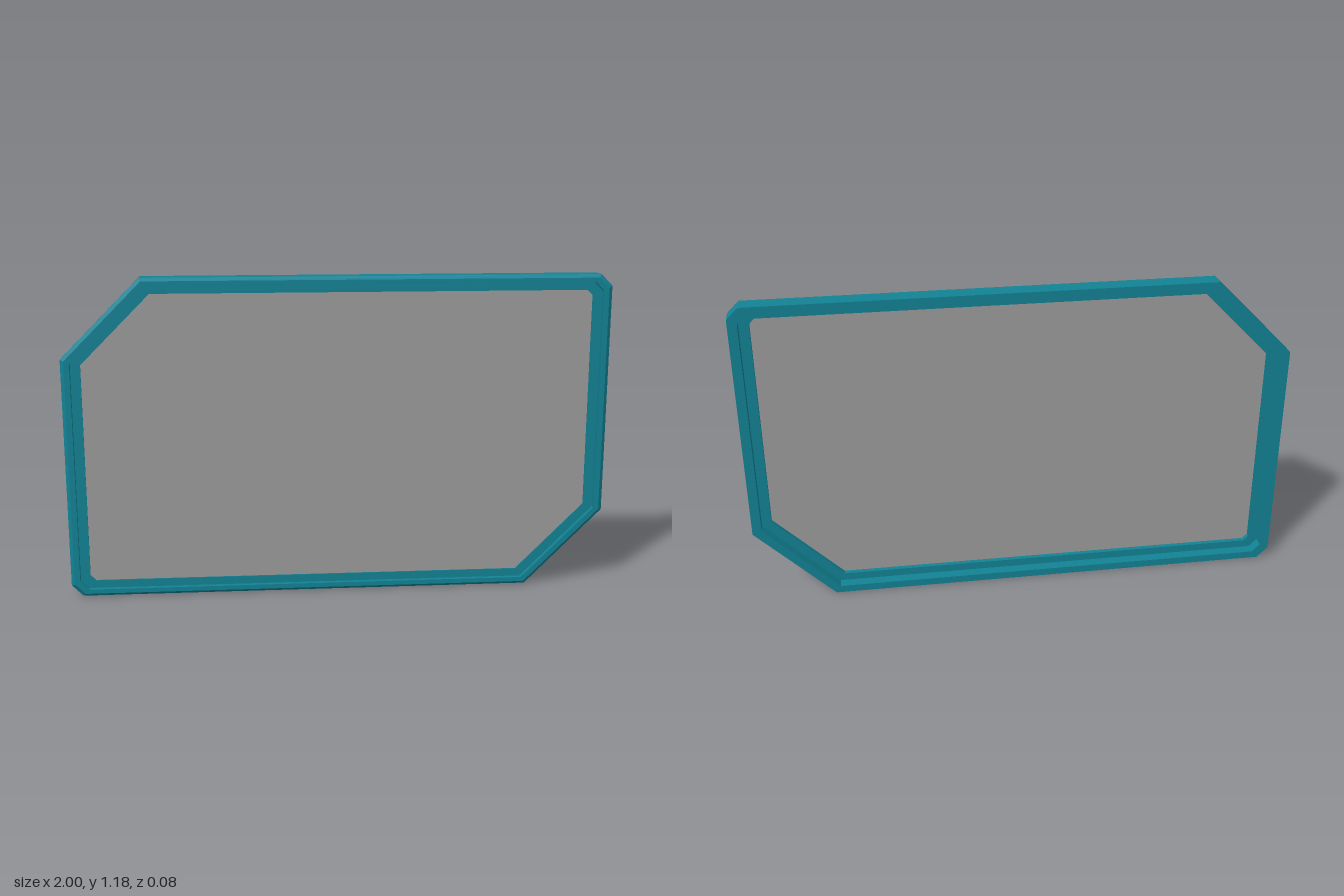
import * as THREE from 'three';

const W = 1, H = 0.59; // half width and half height

// Eight-cornered outline, inset from the outer edge (counter-clockwise seen from the front).
// Two opposite corners are cut deeply, the other two only slightly.
function outline(inset) {
  const x = W - inset, y = H - inset * 0.82;
  const big = 0.288 - inset * 0.5, small = 0.042 - inset * 0.32;
  return [
    [x, -y + big], [x, y - small], [x - small, y], [-x + big, y],
    [-x, y - big], [-x, -y + small], [-x + small, -y], [x - big, -y],
  ];
}

// Sweeps a closed profile of [inset, z] points around the outline, with flat faces.
function sweepFrame(profile) {
  const loops = profile.map(([inset, z]) => outline(inset).map(([x, y]) => [x, y + H, z]));
  const pos = [];
  loops.forEach((a, i) => {
    const b = loops[(i + 1) % loops.length];
    for (let j = 0; j < 8; j++) {
      const k = (j + 1) % 8;
      pos.push(...a[j], ...a[k], ...b[k], ...a[j], ...b[k], ...b[j]);
    }
  });
  const geo = new THREE.BufferGeometry();
  geo.setAttribute('position', new THREE.Float32BufferAttribute(pos, 3));
  geo.computeVertexNormals();
  return geo;
}

export function createModel() {
  const group = new THREE.Group();
  group.name = 'framedPanel';

  // Frame: outer wall, front bevel and rim, inner lip, then the recess at the back
  const frame = new THREE.Mesh(
    sweepFrame([
      [0, -0.04], [0, 0.027], [0.014, 0.04], [0.034, 0.04],
      [0.034, 0.022], [0.07, 0.022], [0.07, 0], [0.034, 0], [0.034, -0.04],
    ]),
    new THREE.MeshStandardMaterial({ color: 0x128294 }),
  );
  frame.name = 'frame';
  group.add(frame);

  // Flat panel held by the inner lip
  const shape = new THREE.Shape(outline(0.068).map(([x, y]) => new THREE.Vector2(x, y + H)));
  const panel = new THREE.Mesh(
    new THREE.ShapeGeometry(shape),
    new THREE.MeshStandardMaterial({ color: 0x9b9b9b, side: THREE.DoubleSide }),
  );
  panel.name = 'panel';
  panel.position.z = 0.018;
  group.add(panel);

  return group;
}
